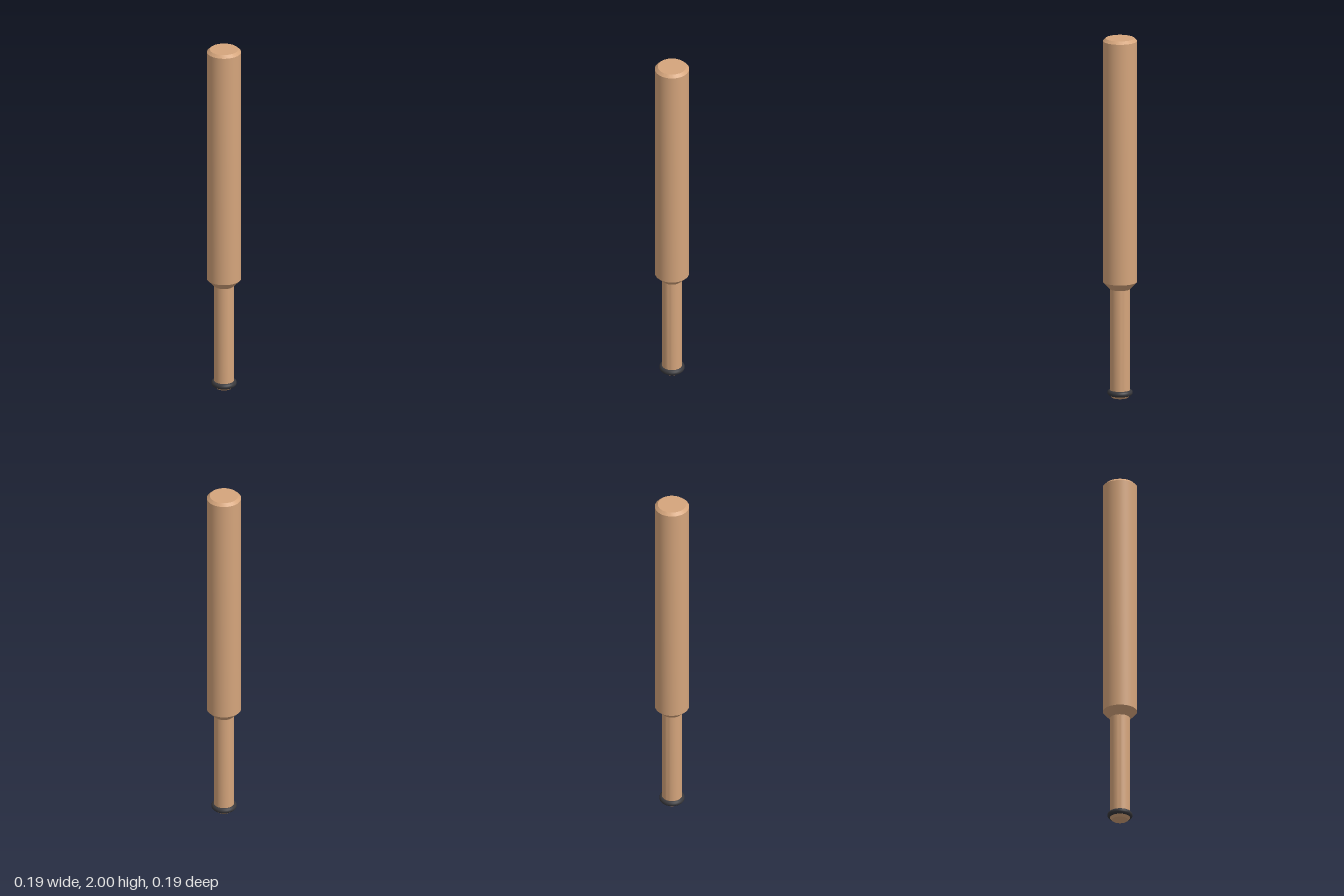
import * as THREE from 'three';
import { toCreasedNormals } from 'three/addons/utils/BufferGeometryUtils.js';

const SEGMENTS = 48;

// Turned solid from [radius, height] pairs, listed bottom to top
function turned(name, profile, material) {
  const points = profile.map(([r, y]) => new THREE.Vector2(r, y));
  const geometry = toCreasedNormals(new THREE.LatheGeometry(points, SEGMENTS), 0.5);
  const mesh = new THREE.Mesh(geometry, material);
  mesh.name = name;
  return mesh;
}

export function createModel() {
  const wood = new THREE.MeshStandardMaterial({ color: 0xd5a57c });
  const rubber = new THREE.MeshStandardMaterial({ color: 0x38383c });
  const group = new THREE.Group();
  group.name = 'turnedBaton';

  // Thick upper body with a chamfered top and a tapered shoulder
  group.add(turned('body', [
    [0, 0.605], [0.055, 0.605], [0.093, 0.645], [0.093, 1.985], [0.077, 2], [0, 2],
  ], wood));

  // Slim handle with a chamfered lower end
  group.add(turned('handle', [
    [0, 0], [0.043, 0], [0.055, 0.012], [0.055, 0.61],
  ], wood));

  // Dark grip ring around the lower end
  const ring = new THREE.Mesh(new THREE.TorusGeometry(0.053, 0.016, 12, SEGMENTS), rubber);
  ring.name = 'gripRing';
  ring.rotation.x = Math.PI / 2;
  ring.position.y = 0.028;
  group.add(ring);

  return group;
}
